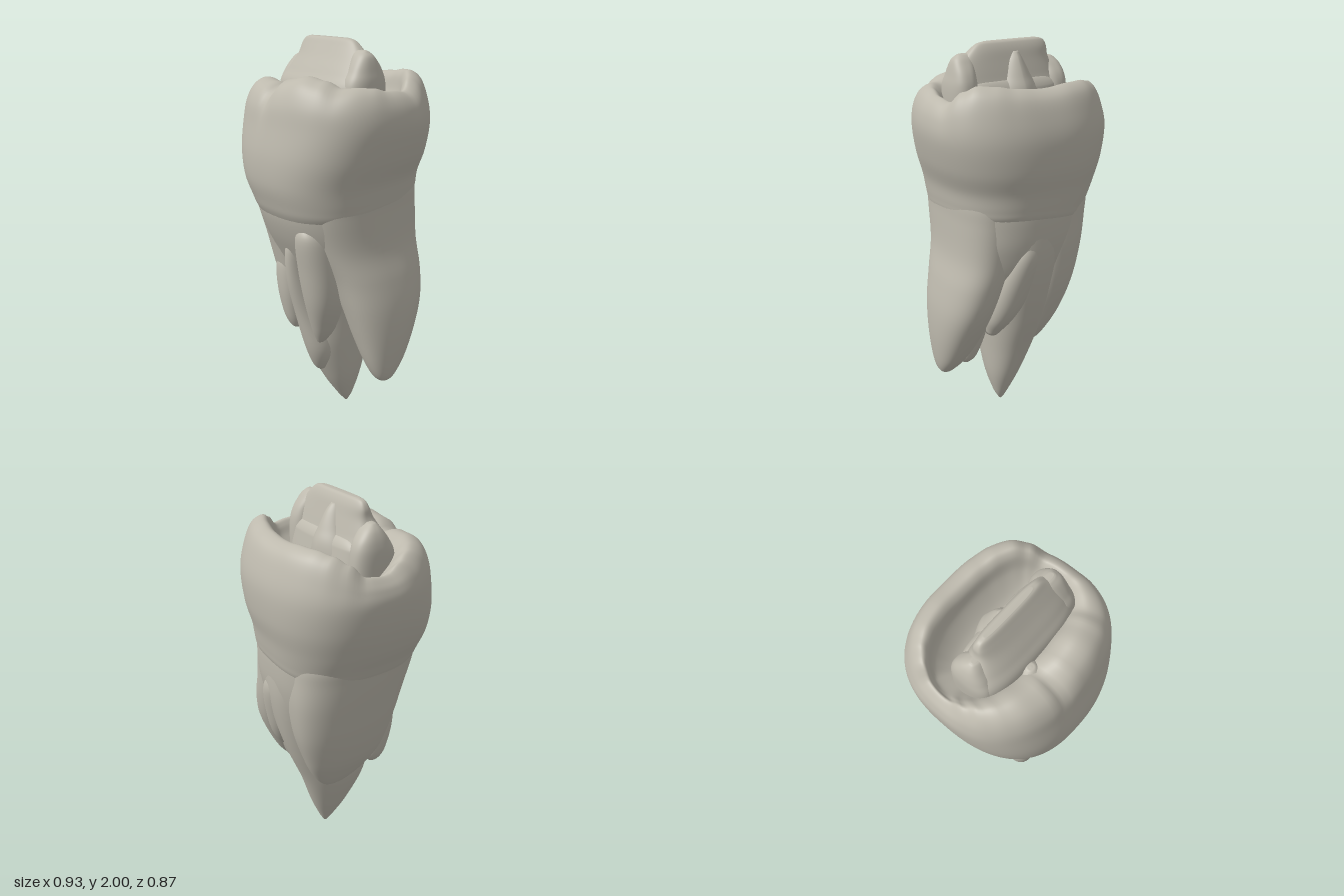
import * as THREE from 'three';

const enamel = new THREE.MeshStandardMaterial({ color: 0xbdb9ad });
enamel.name = 'warm grey enamel';

// Smooth loft through rows [y, xMin, xMax, zMin, zMax, weight], listed in order bottom to top.
function loft(name, rows, { power = 2, steps = 6, segs = 64, warp } = {}) {
  const a = new THREE.CatmullRomCurve3(rows.map(r => new THREE.Vector3(r[0], r[1], r[2])), false, 'catmullrom');
  const b = new THREE.CatmullRomCurve3(rows.map(r => new THREE.Vector3(r[3], r[4], r[5] || 0)), false, 'catmullrom');
  const rings = (rows.length - 1) * steps;
  const pos = [], idx = [];
  const soft = v => Math.sign(v) * Math.abs(v) ** (2 / power);
  for (let i = 0; i <= rings; i++) {
    const p = a.getPoint(i / rings), q = b.getPoint(i / rings);
    for (let j = 0; j < segs; j++) {
      const t = j / segs * Math.PI * 2;
      const v = new THREE.Vector3(
        (p.y + p.z) / 2 + (p.z - p.y) / 2 * soft(Math.cos(t)), p.x,
        (q.x + q.y) / 2 + (q.y - q.x) / 2 * soft(Math.sin(t)));
      if (warp) warp(v, t, q.z);
      pos.push(v.x, v.y, v.z);
    }
  }
  for (let i = 0; i < rings; i++) for (let j = 0; j < segs; j++) {
    const k = (j + 1) % segs, lo = i * segs, hi = lo + segs;
    idx.push(lo + j, hi + j, lo + k, lo + k, hi + j, hi + k);
  }
  // close both ends
  for (const [ring, top] of [[0, false], [rings, true]]) {
    const c = pos.length / 3, m = [0, 0, 0];
    for (let j = 0; j < segs; j++) for (let n = 0; n < 3; n++) m[n] += pos[(ring * segs + j) * 3 + n] / segs;
    pos.push(...m);
    for (let j = 0; j < segs; j++) {
      const u = ring * segs + j, w = ring * segs + (j + 1) % segs;
      idx.push(c, top ? w : u, top ? u : w);
    }
  }
  const g = new THREE.BufferGeometry();
  g.setAttribute('position', new THREE.Float32BufferAttribute(pos, 3));
  g.setIndex(idx);
  g.computeVertexNormals();
  const mesh = new THREE.Mesh(g, enamel);
  mesh.name = name;
  return mesh;
}

// Cusp heights around the rim, every 15 degrees from +x towards +z
const cusps = [-.025, -.005, .0, -.005, .025, .04, .02, -.005, .003, -.005, -.02, -.05,
  -.09, -.08, -.02, .015, .03, .03, .02, .03, .045, .05, .02, -.035];
function cuspHeight(t) {
  const f = t / (Math.PI * 2) * cusps.length, i = Math.floor(f), s = f - i;
  const e = s * s * (3 - 2 * s), n = cusps.length;
  return cusps[i % n] * (1 - e) + cusps[(i + 1) % n] * e;
}

export function createModel() {
  const model = new THREE.Group();
  model.name = 'molar';

  // Crown with a raised cusped rim and a basin behind the ridge
  model.add(loft('crown', [
    [1.08, -.30, .32, -.33, .33, 0],
    [1.17, -.35, .37, -.382, .384, 0],
    [1.23, -.374, .382, -.395, .406, 0],
    [1.33, -.415, .395, -.408, .43, 0],
    [1.46, -.45, .432, -.43, .43, 0],
    [1.60, -.465, .458, -.432, .405, .1],
    [1.70, -.452, .45, -.405, .382, .5],
    [1.77, -.43, .42, -.365, .335, .9],
    [1.80, -.405, .378, -.305, .26, 1],
    [1.775, -.388, .352, -.265, .19, .9],
    [1.71, -.36, .325, -.238, .13, .4],
    [1.64, -.29, .27, -.18, .09, 0],
    [1.59, -.18, .17, -.11, .05, 0],
  ], {
    power: 2.5, segs: 120,
    warp: (v, t, w) => {
      v.y += w * cuspHeight(t);
      // groove between the front cusps
      if (v.z > .1) {
        const groove = w * Math.exp(-(((v.x + .07) / .035) ** 2));
        v.y -= .04 * groove;
        v.z -= .02 * groove;
      }
      // neck line climbs towards the back left
      const climb = THREE.MathUtils.smoothstep(v.x - v.z, 0, .6);
      v.y += .05 * climb * (1 - THREE.MathUtils.smoothstep(v.y, 1.15, 1.5));
    },
  }));

  // Inner ridge standing in the basin, with arms, a low shelf and a pointed fold behind
  model.add(loft('innerRidge', [
    [1.60, -.31, .305, -.10, .165],
    [1.76, -.315, .305, -.09, .165],
    [1.84, -.275, .29, -.07, .125],
    [1.91, -.235, .25, -.05, .08],
    [1.96, -.225, .20, -.035, .05],
    [1.99, -.205, .16, -.02, .032],
    [2.0, -.17, .12, -.008, .02],
  ], { power: 3.2, segs: 96 }));
  model.add(loft('leftArm', [
    [1.60, .15, .312, -.10, .14],
    [1.78, .17, .315, -.095, .135],
    [1.86, .18, .302, -.075, .10],
    [1.92, .18, .285, -.035, .065],
    [1.945, .18, .262, -.01, .04],
    [1.952, .19, .25, .005, .025],
  ], { power: 2.5 }));
  model.add(loft('rightArm', [
    [1.60, -.32, -.17, -.10, .13],
    [1.75, -.325, -.19, -.095, .13],
    [1.82, -.318, -.195, -.08, .10],
    [1.87, -.30, -.20, -.045, .065],
    [1.90, -.275, -.20, -.01, .04],
    [1.907, -.26, -.21, .005, .025],
  ], { power: 2.5 }));
  model.add(loft('backShelf', [
    [1.60, -.26, .27, -.14, 0],
    [1.75, -.25, .26, -.11, 0],
    [1.79, -.24, .25, -.10, 0],
    [1.82, -.20, .21, -.08, -.01],
    [1.83, -.16, .17, -.06, -.02],
  ], { power: 3 }));
  model.add(loft('backFold', [
    [1.60, -.20, .12, -.15, 0],
    [1.76, -.14, .07, -.14, 0],
    [1.84, -.10, .04, -.11, 0],
    [1.91, -.07, .015, -.075, 0],
    [1.95, -.05, -.01, -.045, -.01],
  ], { power: 1.6 }));
  model.add(loft('frontBead', [
    [1.68, -.10, -.05, .14, .20],
    [1.74, -.125, -.025, .13, .225],
    [1.775, -.10, -.05, .15, .20],
    [1.78, -.08, -.07, .17, .18],
  ]));

  // Trunk below the neck, then the roots (rows run from top to tip)
  const root = (name, rows, power = 2.2) => model.add(loft(name, rows.reverse(), { power }));
  root('rootTrunk', [
    [1.42, -.37, .375, -.38, .385],
    [1.30, -.362, .374, -.382, .386],
    [1.18, -.352, .372, -.385, .384],
    [1.05, -.33, .365, -.375, .345],
    [.90, -.28, .32, -.34, .275],
    [.75, -.18, .22, -.27, .21],
    [.62, -.06, .10, -.16, .12],
  ], 2.5);
  root('leftRoot', [
    [1.45, .02, .34, -.28, .29],
    [1.30, .0, .374, -.325, .33],
    [1.18, .015, .378, -.33, .32],
    [1.0, .05, .39, -.325, .265],
    [.85, .11, .428, -.315, .21],
    [.70, .17, .456, -.285, .17],
    [.55, .22, .462, -.225, .13],
    [.40, .29, .45, -.145, .085],
    [.31, .345, .43, -.07, .04],
    [.28, .38, .40, -.03, -.01],
  ], 2.4);
  root('leftRootSideTip', [
    [.85, .14, .32, -.22, .02],
    [.60, .18, .36, -.20, .04],
    [.42, .23, .35, -.15, .02],
    [.36, .265, .33, -.11, -.02],
    [.335, .285, .30, -.07, -.05],
  ]);
  root('rightRoot', [
    [1.45, -.33, .06, -.30, .30],
    [1.28, -.362, .06, -.35, .34],
    [1.16, -.35, .06, -.36, .335],
    [1.0, -.325, .05, -.36, .295],
    [.80, -.285, .03, -.33, .25],
    [.62, -.232, .01, -.27, .20],
    [.50, -.175, 0, -.215, .13],
    [.42, -.125, -.03, -.16, .03],
    [.39, -.095, -.06, -.11, -.05],
  ], 2.4);
  root('centreRoot', [
    [1.2, -.25, .30, -.38, .20],
    [1.0, -.20, .25, -.38, .20],
    [.80, -.16, .20, -.345, .20],
    [.60, -.135, .165, -.285, .20],
    [.40, -.112, .15, -.205, .185],
    [.20, -.045, .132, -.135, .10],
    [.07, .015, .10, -.08, .02],
    [.015, .045, .075, -.052, -.022],
    [.0, .058, .064, -.04, -.035],
  ]);
  // Slender lobes lying on the front and back
  root('frontMiddleLobe', [
    [1.03, -.005, .015, .26, .28],
    [.97, -.035, .045, .20, .315],
    [.80, -.055, .06, .12, .305],
    [.60, -.055, .085, .05, .262],
    [.40, -.035, .12, .02, .215],
    [.28, -.01, .085, .05, .165],
    [.235, .01, .035, .10, .12],
  ]);
  root('frontLeftLobe', [
    [1.14, .14, .18, .30, .33],
    [1.07, .09, .245, .20, .36],
    [.90, .06, .27, .13, .335],
    [.72, .065, .258, .10, .30],
    [.56, .08, .20, .12, .25],
    [.48, .095, .15, .16, .215],
    [.46, .11, .125, .18, .20],
  ]);
  root('frontRightLobe', [
    [.90, -.16, -.12, .18, .22],
    [.85, -.20, -.07, .14, .262],
    [.70, -.205, -.048, .10, .262],
    [.55, -.18, -.06, .10, .235],
    [.48, -.145, -.08, .13, .205],
    [.46, -.115, -.10, .16, .18],
  ]);
  root('backLobe', [
    [1.12, .03, .09, -.36, -.31],
    [1.0, 0, .16, -.385, -.22],
    [.80, .02, .22, -.345, -.15],
    [.65, .09, .24, -.29, -.12],
    [.54, .16, .22, -.21, -.14],
  ]);
  return model;
}
